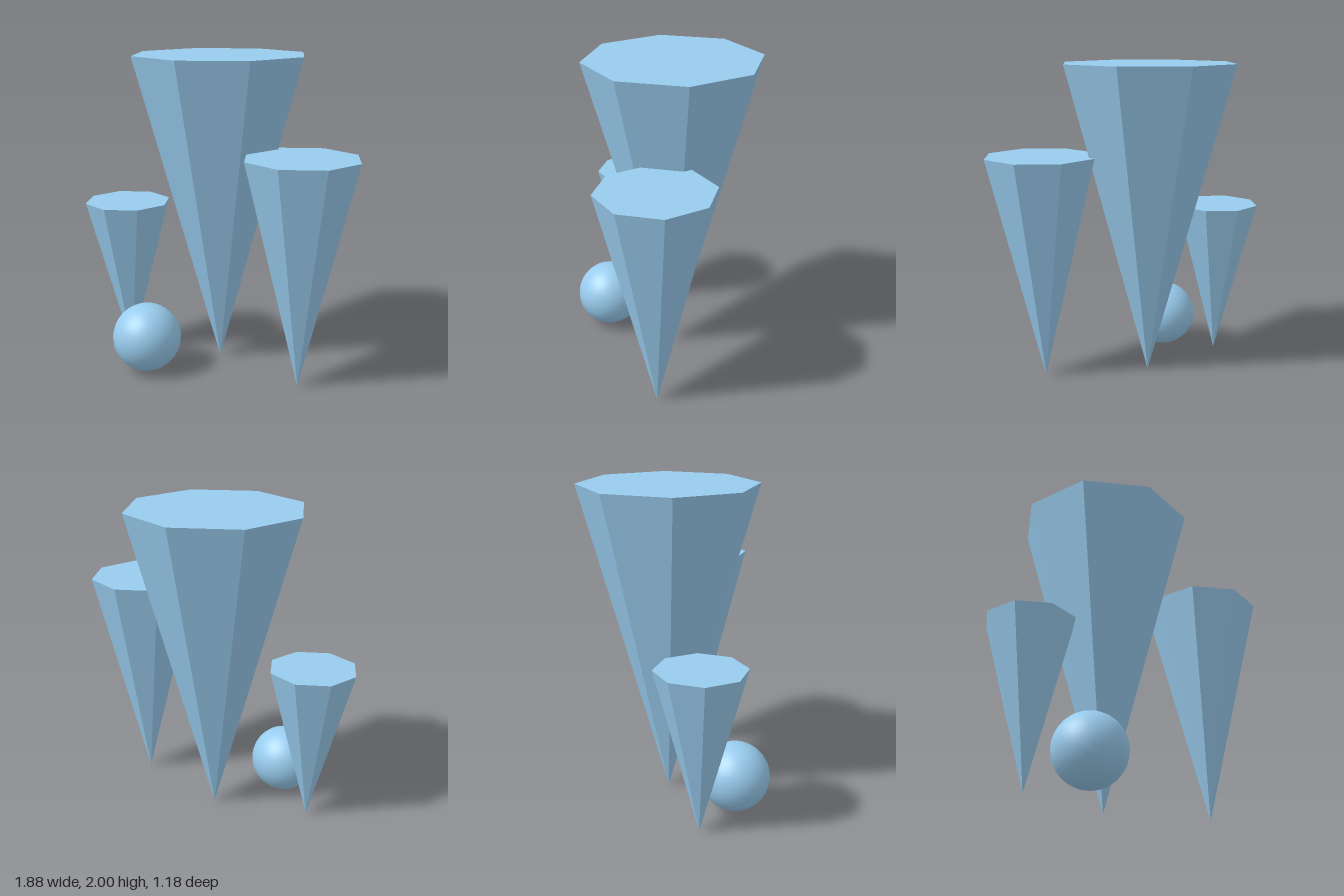
import * as THREE from 'three';

export function createModel() {
  const model = new THREE.Group();
  const flat = new THREE.MeshStandardMaterial({ color: 0x99ccee, flatShading: true });
  const smooth = new THREE.MeshStandardMaterial({ color: 0x99ccee });

  // Eight-sided cone standing on its tip
  function addCone(name, x, z, radius, height) {
    const geometry = new THREE.ConeGeometry(radius, height, 8);
    geometry.rotateX(Math.PI);
    geometry.translate(0, height / 2, 0);
    const cone = new THREE.Mesh(geometry, flat);
    cone.name = name;
    cone.position.set(x, 0, z);
    model.add(cone);
  }

  addCone('largeCone', -0.06, -0.03, 0.557, 2);
  addCone('mediumCone', 0.58, 0.17, 0.358, 1.44);
  addCone('smallCone', -0.66, 0.128, 0.278, 1.04);

  // Ball resting on the ground
  const ball = new THREE.Mesh(new THREE.SphereGeometry(0.218, 32, 16), smooth);
  ball.name = 'ball';
  ball.position.set(-0.383, 0.222, 0.372);
  model.add(ball);

  return model;
}
